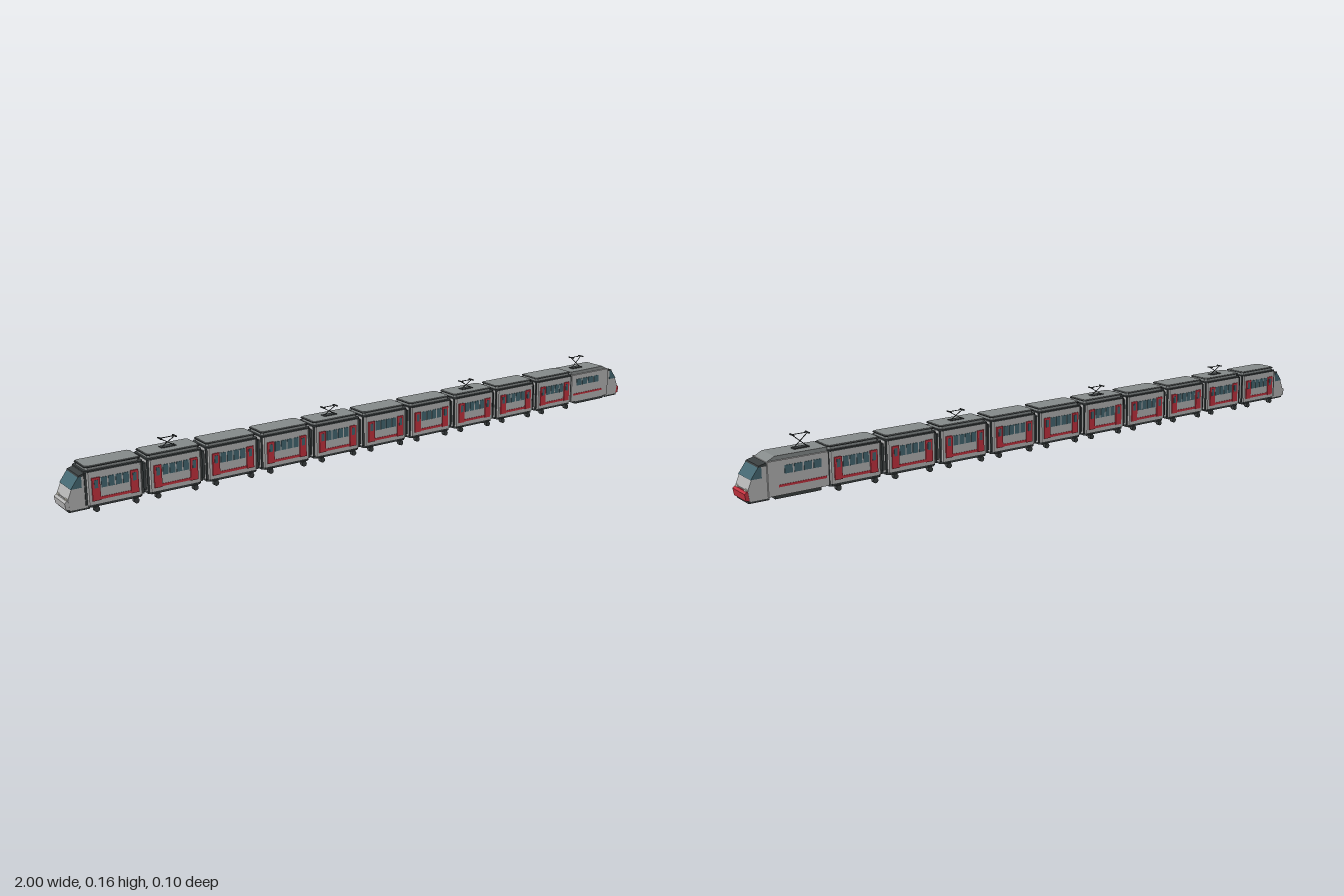
import * as THREE from 'three';

const mat = (color) => new THREE.MeshStandardMaterial({ color, flatShading: true });
const grey = mat(0xb4b4b4), roofGrey = mat(0x858a8a), dark = mat(0x3a3f40);
const red = mat(0xc4323f), glass = mat(0x456872), white = mat(0xf2f0e0);

function add(parent, name, geometry, material, x = 0, y = 0, z = 0) {
  const mesh = new THREE.Mesh(geometry, material);
  mesh.name = name;
  mesh.position.set(x, y, z);
  parent.add(mesh);
  return mesh;
}

// Box given by its x, y and z ranges
function box(parent, name, material, x0, x1, y0, y1, z0, z1) {
  return add(parent, name, new THREE.BoxGeometry(x1 - x0, y1 - y0, z1 - z0), material,
    (x0 + x1) / 2, (y0 + y1) / 2, (z0 + z1) / 2);
}

// Upright slab with chamfered corners in plan
function slab(parent, name, material, length, width, y0, y1, c) {
  const a = length / 2, b = width / 2;
  const s = new THREE.Shape([[a, b - c], [a - c, b], [c - a, b], [-a, b - c],
    [-a, c - b], [c - a, -b], [a - c, -b], [a, c - b]].map((p) => new THREE.Vector2(...p)));
  const g = new THREE.ExtrudeGeometry(s, { depth: y1 - y0, bevelEnabled: false });
  g.rotateX(-Math.PI / 2);
  return add(parent, name, g, material, 0, y0, 0);
}

// Side profile in x and y, extruded across the train
function profile(parent, name, material, points, halfWidth) {
  const s = new THREE.Shape(points.map((p) => new THREE.Vector2(...p)));
  const g = new THREE.ExtrudeGeometry(s, { depth: 2 * halfWidth, bevelEnabled: false });
  return add(parent, name, g, material, 0, 0, -halfWidth);
}

// Straight rod between two points
function rod(parent, name, material, from, to, r) {
  const a = new THREE.Vector3(...from), b = new THREE.Vector3(...to);
  const mesh = add(parent, name, new THREE.CylinderGeometry(r, r, a.distanceTo(b), 6), material);
  mesh.position.copy(a).add(b).multiplyScalar(0.5);
  mesh.quaternion.setFromUnitVectors(new THREE.Vector3(0, 1, 0), b.sub(a).normalize());
}

function pantograph(parent, x, base, top) {
  const g = new THREE.Group();
  g.name = 'pantograph';
  g.position.set(x, base, 0);
  const h = top - base;
  box(g, 'pantographBase', dark, -0.022, 0.022, -0.001, 0.002, -0.009, 0.009);
  // Crossed arms and the contact bars on top
  for (const s of [-1, 1]) {
    rod(g, 'pantographArm', dark, [s * 0.02, 0, 0], [-s * 0.022, h - 0.002, 0], 0.0012);
    box(g, 'contactBar', dark, s * 0.022 - 0.002, s * 0.022 + 0.002, h - 0.003, h, -0.011, 0.011);
  }
  box(g, 'pantographHead', dark, -0.024, 0.024, h - 0.002, h - 0.0005, -0.0015, 0.0015);
  parent.add(g);
}

function wheelset(parent, x) {
  rod(parent, 'axle', grey, [x, 0.0075, -0.04], [x, 0.0075, 0.04], 0.0025);
  for (const s of [-1, 1]) {
    const g = new THREE.CylinderGeometry(0.0075, 0.0075, 0.012, 12).rotateX(Math.PI / 2);
    add(parent, 'wheel', g, dark, x, 0.0075, s * 0.042);
    box(parent, 'axleBox', dark, x - 0.006, x + 0.006, 0.009, 0.016, s * 0.042 - 0.004, s * 0.042 + 0.004);
  }
}

function coach(x) {
  const g = new THREE.Group();
  g.name = 'coach';
  g.position.x = x;
  slab(g, 'underframe', dark, 0.156, 0.082, 0.013, 0.02, 0.008);
  slab(g, 'coachBody', grey, 0.16, 0.086, 0.02, 0.108, 0.008);
  slab(g, 'roofEdge', dark, 0.162, 0.088, 0.108, 0.112, 0.008);
  slab(g, 'roof', roofGrey, 0.15, 0.07, 0.112, 0.119, 0.006);
  slab(g, 'roofRim', dark, 0.156, 0.076, 0.119, 0.121, 0.006);
  slab(g, 'roofPanel', roofGrey, 0.15, 0.07, 0.119, 0.123, 0.006);
  for (const s of [-1, 1]) {
    const side = (name, m, x0, x1, y0, y1, out) =>
      box(g, name, m, x0, x1, y0, y1, s > 0 ? 0.04 : -out, s > 0 ? out : -0.04);
    // Two doors with small panes, four windows and the stripe below them
    for (const d of [-0.053, 0.053]) {
      side('door', red, d - 0.011, d + 0.011, 0.03, 0.092, 0.0465);
      side('doorWindow', glass, d - 0.005, d + 0.005, 0.064, 0.086, 0.0472);
    }
    for (let i = 0; i < 4; i++) {
      const w = -0.03 + i * 0.02;
      side('window', glass, w - 0.008, w + 0.008, 0.062, 0.09, 0.0445);
    }
    side('stripe', red, -0.042, 0.042, 0.031, 0.038, 0.0445);
    // Dark corner posts
    for (const e of [-1, 1]) box(g, 'cornerPost', dark, e * 0.077 - 0.004, e * 0.077 + 0.004,
      0.02, 0.108, s * 0.0375 - 0.002, s * 0.0375 + 0.002);
  }
  for (const w of [-0.055, 0.055]) wheelset(g, w);
  return g;
}

// Sloping cab, built towards +x with its back at x = 0
function cab(noseMaterial) {
  const g = new THREE.Group();
  g.name = 'cab';
  profile(g, 'cabBody', grey, [[0, 0.014], [0.053, 0.014], [0.057, 0.044], [0.046, 0.07],
    [0.024, 0.102], [0, 0.108]], 0.037);
  profile(g, 'windscreen', glass, [[0.018, 0.07], [0.048, 0.07], [0.026, 0.1], [0.018, 0.1]], 0.0375);
  profile(g, 'windscreenTop', dark, [[0, 0.099], [0.027, 0.099], [0.025, 0.103], [0, 0.109]], 0.0377);
  profile(g, 'nose', noseMaterial, [[0.042, 0.015], [0.063, 0.017], [0.066, 0.036], [0.06, 0.041],
    [0.042, 0.041]], 0.0365);
  box(g, 'chin', dark, 0, 0.056, 0.009, 0.015, -0.036, 0.036);
  for (const s of [-1, 1])
    box(g, 'headlight', white, 0.05, 0.06, 0.041, 0.046, s * 0.026 - 0.005, s * 0.026 + 0.005);
  return g;
}

function locomotive() {
  const g = new THREE.Group();
  g.name = 'locomotive';
  box(g, 'locomotiveBody', grey, 0.768, 0.938, 0.018, 0.11, -0.043, 0.043);
  profile(g, 'locomotiveRoof', roofGrey, [[0.768, 0.11], [0.936, 0.11], [0.915, 0.121], [0.768, 0.121]], 0.037);
  box(g, 'locomotiveUnderframe', dark, 0.79, 0.92, 0.009, 0.02, -0.04, 0.04);
  for (const s of [-1, 1]) {
    const z0 = s * 0.043 - 0.0015, z1 = s * 0.043 + 0.0015;
    for (let i = 0; i < 4; i++) {
      const x = 0.8 + i * 0.027;
      box(g, 'window', glass, x - 0.011, x + 0.011, 0.073, 0.095, z0, z1);
    }
    box(g, 'stripe', red, 0.775, 0.91, 0.04, 0.046, z0, z1);
  }
  pantograph(g, 0.825, 0.122, 0.16);
  return g;
}

export function createModel() {
  const train = new THREE.Group();
  train.name = 'train';
  const pitch = 0.1725, first = -0.864;

  // Ten coaches, every third with a pantograph, joined by gangways
  for (let i = 0; i < 10; i++) {
    const c = coach(first + i * pitch);
    if (i % 3 === 1) pantograph(c, 0, 0.123, 0.15);
    train.add(c);
    const joint = first + (i + 0.5) * pitch;
    box(train, 'gangway', dark, joint - 0.01, joint + 0.01, 0.025, 0.1, -0.03, 0.03);
  }
  train.add(locomotive());

  // Cabs at both ends
  const front = cab(red);
  front.position.x = 0.934;
  const rear = cab(grey);
  rear.position.x = -0.934;
  rear.rotation.y = Math.PI;
  train.add(front, rear);
  return train;
}
